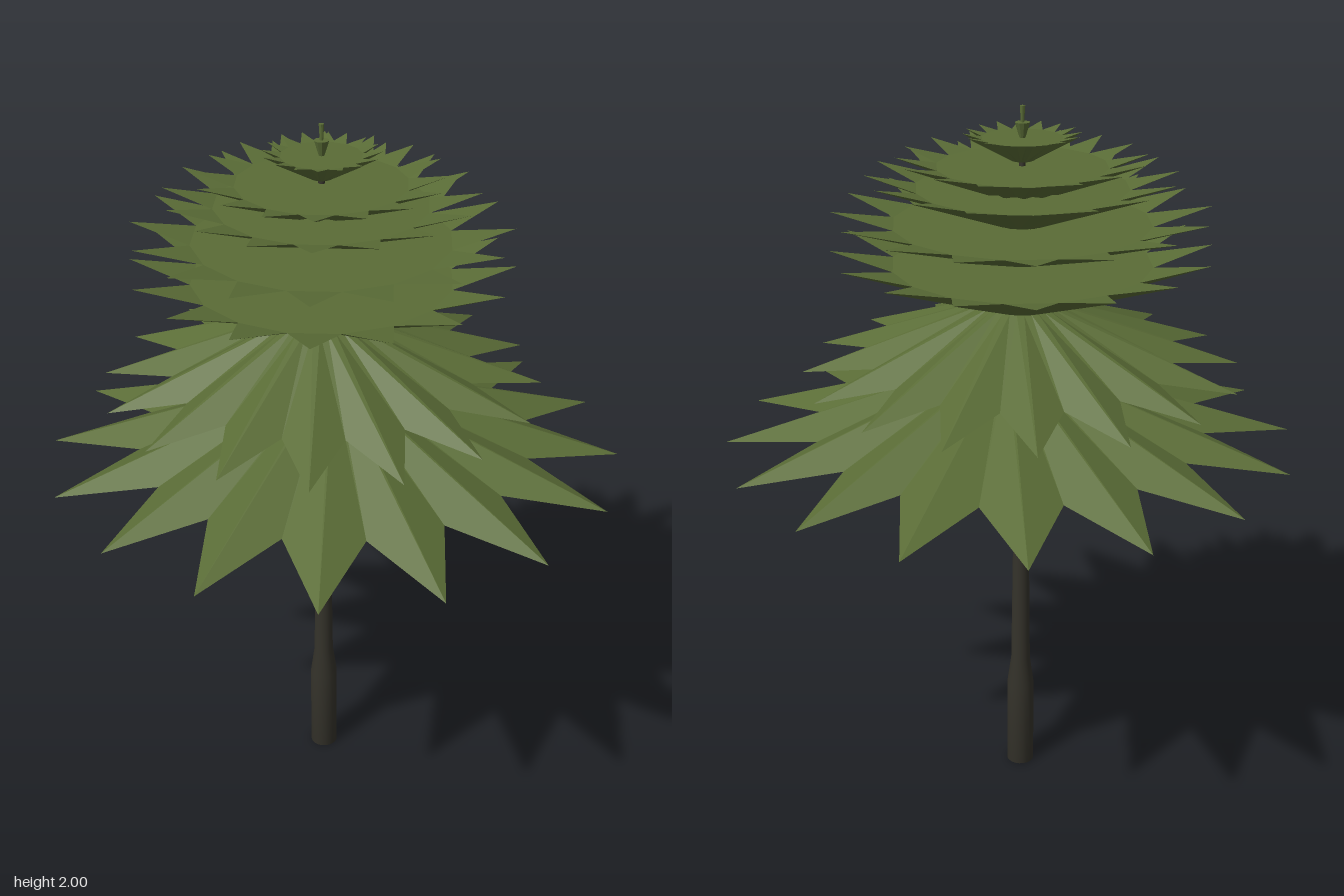
import * as THREE from 'three';

const POINTS = 16;
const CX = -0.012, CZ = -0.035; // trunk axis

// Star-edged branch layer: small disc at one end, a ring of pointed fronds at the other.
// Fronds hang down when yTip < yDisc and point up when yTip > yDisc.
function starLayer({ yDisc, rDisc, yTip, rTip, yValley, rValley }) {
  const pos = [];
  const flip = yTip > yDisc;
  const tri = (a, b, c) => {
    for (const p of flip ? [a, c, b] : [a, b, c]) pos.push(...p);
  };
  const at = (k, r, y) => {
    const a = (k * Math.PI) / POINTS;
    return [Math.sin(a) * r, y, Math.cos(a) * r];
  };
  const disc = (k) => at(k, rDisc, yDisc);
  const rim = (k) => (k % 2 === 0 ? at(k, rTip, yTip) : at(k, rValley, yValley));
  const discCentre = [0, yDisc, 0], capCentre = [0, yValley, 0];
  for (let k = 0; k < POINTS * 2; k++) {
    // sloping side and small disc
    tri(disc(k), rim(k), rim(k + 1));
    tri(disc(k), rim(k + 1), disc(k + 1));
    tri(discCentre, disc(k), disc(k + 1));
    if (k % 2 === 0) {
      // closing cap: one frond and its wedge
      tri(rim(k - 1), rim(k + 1), rim(k));
      tri(capCentre, rim(k + 1), rim(k - 1));
    }
  }
  const g = new THREE.BufferGeometry();
  g.setAttribute('position', new THREE.Float32BufferAttribute(pos, 3));
  g.computeVertexNormals();
  return g;
}

export function createModel() {
  const tree = new THREE.Group();
  tree.name = 'tree';

  const foliage = new THREE.MeshStandardMaterial({ color: 0x5a6c36, flatShading: true });
  foliage.name = 'foliage green';
  const bark = new THREE.MeshStandardMaterial({ color: 0x34322a });
  bark.name = 'dark bark';

  const add = (name, geometry, material, x = CX, y = 0, z = CZ) => {
    const mesh = new THREE.Mesh(geometry, material);
    mesh.name = name;
    mesh.position.set(x, y, z);
    tree.add(mesh);
  };

  // Trunk: thick foot, shoulder, then a slow taper to the crown
  const profile = [[0, 0], [0.04, 0], [0.04, 0.27], [0.028, 0.36], [0.02, 1.0], [0.015, 1.4], [0.008, 1.9], [0, 1.9]]
    .map(([r, y]) => new THREE.Vector2(r, y));
  add('trunk', new THREE.LatheGeometry(profile, 20), bark);

  // Two drooping layers below five upturned ones: disc y, disc r, tip y, tip r, valley y
  const layers = [
    [1.31, 0.05, 1.075, 0.79, 1.115],
    [1.47, 0.10, 1.285, 0.60, 1.32],
    [1.47, 0.10, 1.625, 0.51, 1.585],
    [1.59, 0.06, 1.73, 0.503, 1.695],
    [1.69, 0.06, 1.825, 0.412, 1.79],
    [1.76, 0.05, 1.87, 0.33, 1.845],
    [1.86, 0.03, 1.93, 0.155, 1.918],
  ];
  layers.forEach(([yDisc, rDisc, yTip, rTip, yValley], i) => {
    const geo = starLayer({ yDisc, rDisc, yTip, rTip, yValley, rValley: rTip * 0.685 });
    const lowest = i === 0;
    add(`branchLayer${i + 1}`, geo, foliage, lowest ? 0 : CX, 0, lowest ? 0 : CZ);
  });

  // Top shoot: small upturned cup with a thin spike
  add('topCup', new THREE.CylinderGeometry(0.02, 0.006, 0.045, 10), foliage, CX, 1.935);
  add('topSpike', new THREE.CylinderGeometry(0.007, 0.004, 0.05, 8), foliage, CX, 1.975);

  return tree;
}
